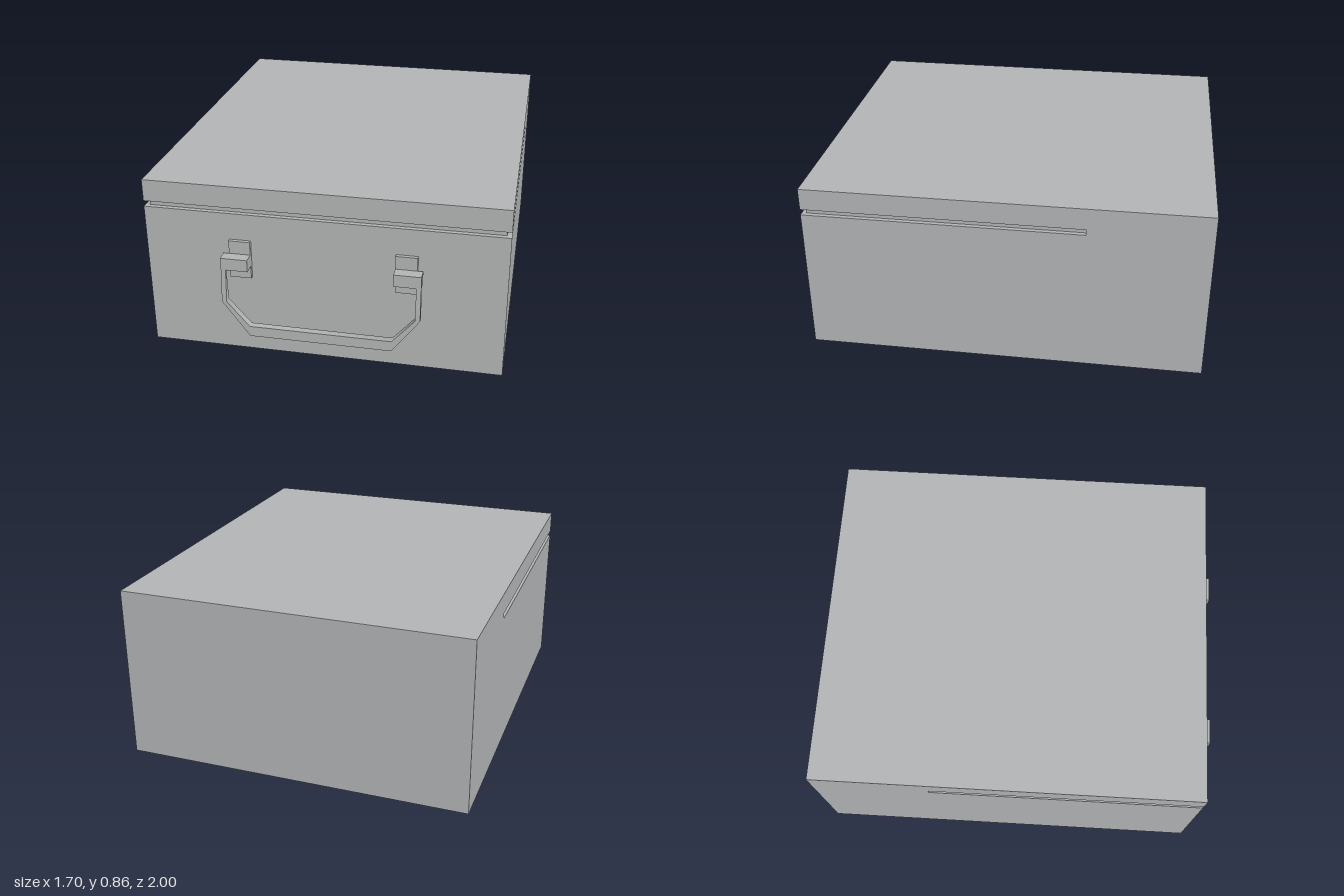
import * as THREE from 'three';
import { toCreasedNormals } from 'three/addons/utils/BufferGeometryUtils.js';

// Bar swept through rectangular sections: [outerX, outerY, innerX, innerY, backZ, frontZ]
function sweptBar(sections) {
  const pos = [];
  const quad = (a, b, c, d) => pos.push(...a, ...b, ...c, ...a, ...c, ...d);
  const rings = sections.map(([ox, oy, ix, iy, z0, z1]) =>
    [[ox, oy, z0], [ox, oy, z1], [ix, iy, z1], [ix, iy, z0]]);
  for (let i = 0; i < rings.length - 1; i++) {
    const a = rings[i], b = rings[i + 1];
    for (let k = 0; k < 4; k++) {
      const n = (k + 1) % 4;
      quad(a[k], a[n], b[n], b[k]);
    }
  }
  const first = rings[0], last = rings[rings.length - 1];
  quad(first[3], first[2], first[1], first[0]);
  quad(...last);
  const geometry = new THREE.BufferGeometry();
  geometry.setAttribute('position', new THREE.Float32BufferAttribute(pos, 3));
  // Smooth along the bends, sharp along the bar's edges
  return toCreasedNormals(geometry, Math.PI / 3);
}

export function createModel() {
  const model = new THREE.Group();
  model.name = 'case';
  const grey = new THREE.MeshStandardMaterial({ color: 0xb2b3b4 });
  grey.name = 'lightGrey';

  const add = (name, geometry) => {
    const mesh = new THREE.Mesh(geometry, grey);
    mesh.name = name;
    model.add(mesh);
    return mesh;
  };
  // Box given by its lower and upper limits on each axis
  const box = (name, x0, x1, y0, y1, z0, z1) =>
    add(name, new THREE.BoxGeometry(x1 - x0, y1 - y0, z1 - z0))
      .position.set((x0 + x1) / 2, (y0 + y1) / 2, (z0 + z1) / 2);

  // Body and lid: side profile with the lid gap, extruded across the width
  const profile = new THREE.Shape([
    [-0.915, 0], [1, 0], [1, 0.855], [-0.915, 0.855],
    [-0.915, 0.748], [0.424, 0.748], [0.424, 0.72], [-0.915, 0.72],
  ].map(([x, y]) => new THREE.Vector2(x, y)));
  const body = new THREE.ExtrudeGeometry(profile, { depth: 1.7, bevelEnabled: false });
  body.translate(0, 0, -0.85).rotateY(Math.PI / 2);
  add('body', body);

  // Recessed core that closes the lid gap
  box('lidGapCore', -0.828, 0.828, 0.72, 0.748, -0.424, 0.892);

  // Handle mounts, mirrored left and right
  for (const [side, s] of [['left', 1], ['right', -1]]) {
    const span = (a, b) => (s > 0 ? [a, b] : [-b, -a]);
    box(side + 'MountPlate', ...span(0.34, 0.442), 0.4, 0.588, 0.915, 0.933);
    box(side + 'HandleBracket', ...span(0.34, 0.468), 0.463, 0.523, 0.933, 0.988);
  }

  // Drop handle: legs thicken toward the bend, then join the lower grip
  const half = [
    [0.468, 0.463, 0.445, 0.463, 0.976, 0.988],
    [0.468, 0.3, 0.445, 0.3, 0.966, 1],
    [0.338, 0.125, 0.338, 0.177, 0.966, 1],
  ];
  const mirrored = half.map(([ox, oy, ix, iy, z0, z1]) => [-ox, oy, -ix, iy, z0, z1]).reverse();
  add('handle', sweptBar([...half, ...mirrored]));

  return model;
}
